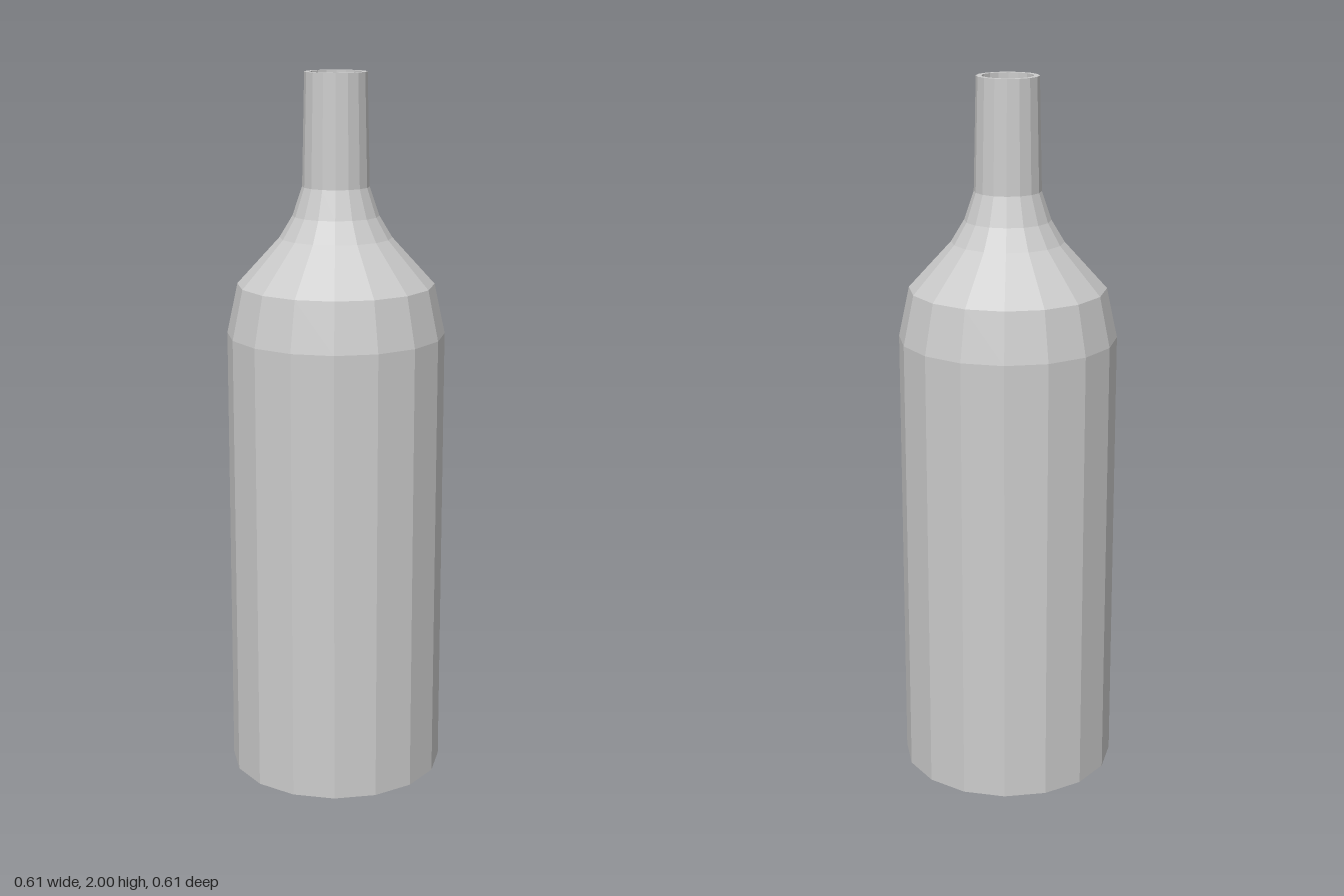
import * as THREE from 'three';

const SIDES = 16;

export function createModel() {
  const group = new THREE.Group();
  group.name = 'bottle';
  const material = new THREE.MeshStandardMaterial({ color: 0xcccccc, flatShading: true });

  // Revolve a list of [radius, height] points into a faceted part
  const revolve = (name, points) => {
    const profile = points.map(([r, y]) => new THREE.Vector2(r, y));
    const mesh = new THREE.Mesh(new THREE.LatheGeometry(profile, SIDES), material);
    mesh.name = name;
    group.add(mesh);
  };

  // Flat base and straight wall
  revolve('body', [[0, 0], [0.305, 0], [0.305, 1.28]]);

  // Bevelled shoulder sweeping in to the neck
  revolve('shoulder', [[0.305, 1.28], [0.275, 1.42], [0.156, 1.55], [0.12, 1.61], [0.093, 1.69]]);

  // Slightly tapered neck, flat rim, and the bore with its floor
  revolve('neck', [[0.093, 1.69], [0.086, 2], [0.071, 2], [0.071, 1.69], [0, 1.69]]);

  return group;
}
